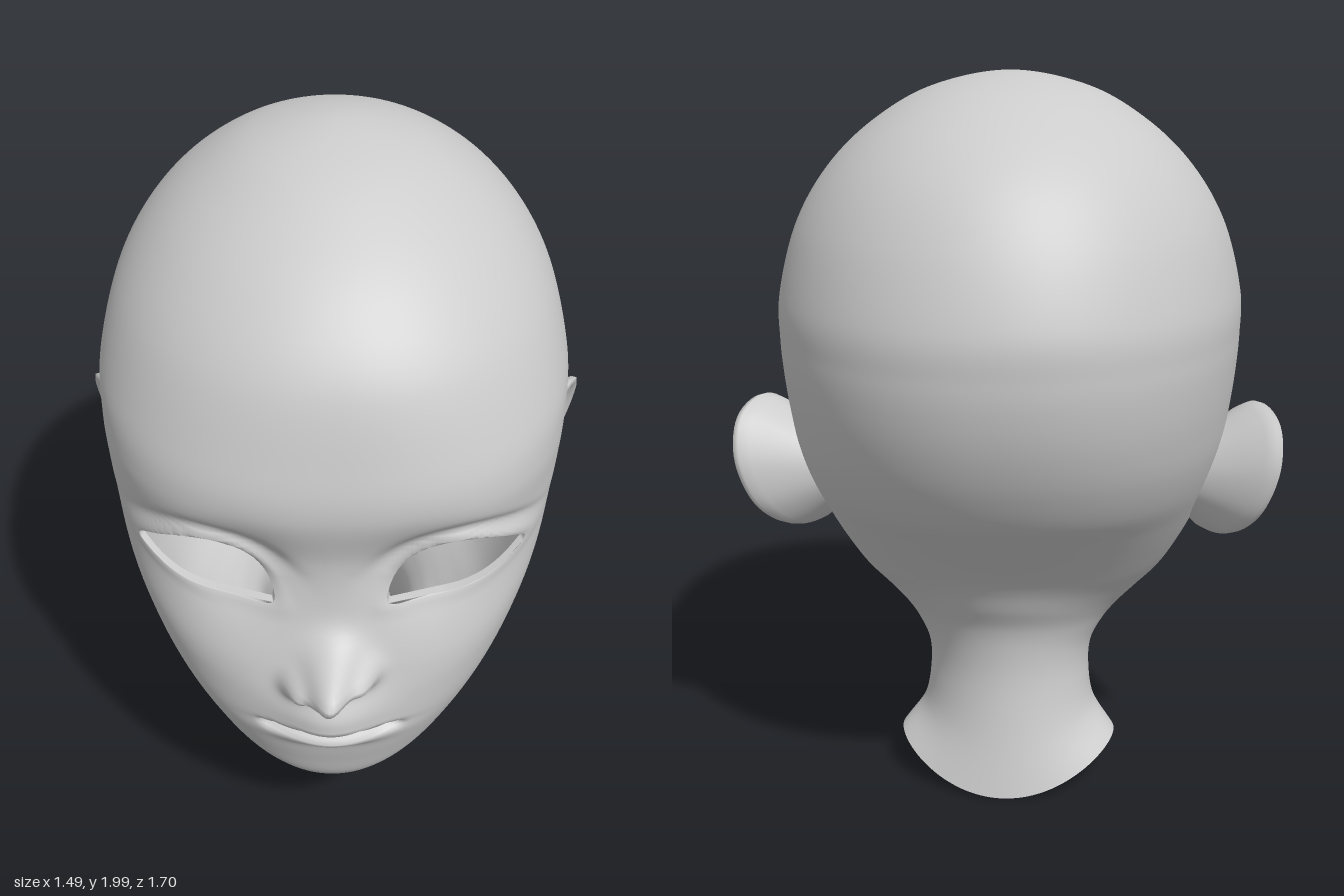
import * as THREE from 'three';

const skin = new THREE.MeshStandardMaterial({ color: 0xcccccc, side: THREE.DoubleSide });
const bump = (d, s) => Math.exp(-((d / s) ** 2));
const step = THREE.MathUtils.smoothstep;

// Cross-sections, bottom to top: half width, side z, side y, front z, front y, back z, back y
const neckAndJaw = [
  [0.31, -0.2, 0.125, 0.04, 0.05, -0.425, 0.01],
  [0.25, -0.16, 0.2, 0.08, 0.2, -0.39, 0.18],
  [0.232, -0.13, 0.3, 0.11, 0.27, -0.37, 0.32],
  [0.24, -0.1, 0.38, 0.18, 0.308, -0.37, 0.42],
  [0.28, -0.04, 0.44, 0.32, 0.325, -0.385, 0.5],
  [0.33, 0.04, 0.48, 0.46, 0.31, -0.42, 0.57],
  [0.39, 0.08, 0.53, 0.57, 0.285, -0.45, 0.63],
  [0.455, 0.08, 0.6, 0.625, 0.33, -0.485, 0.68],
  [0.51, 0.06, 0.7, 0.655, 0.41, -0.55, 0.75],
  [0.55, 0.03, 0.8, 0.685, 0.52, -0.62, 0.82],
];
// half width, side z, y, front z, front y, back z
const skull = [
  [0.582, 0, 0.9, 0.69, 0.64, -0.7],
  [0.605, -0.02, 1.0, 0.68, 0.76, -0.765],
  [0.62, -0.02, 1.1, 0.643, 0.94, -0.81],
  [0.632, -0.02, 1.2, 0.635, 1.1, -0.838],
  [0.638, -0.03, 1.3, 0.667, 1.26, -0.85],
  [0.635, -0.04, 1.42, 0.65, 1.4, -0.845],
  [0.585, -0.07, 1.6, 0.59, 1.6, -0.78],
  [0.495, -0.09, 1.75, 0.475, 1.75, -0.68],
  [0.37, -0.1, 1.87, 0.315, 1.87, -0.53],
  [0.21, -0.1, 1.96, 0.13, 1.96, -0.33],
  [0, -0.1, 2, -0.1, 2, -0.1],
  [-0.21, -0.1, 1.96, -0.33, 1.96, 0.13],
].map((r) => [...r, r[2]]);
const first = neckAndJaw[0];
const rows = [first.map((v, k) => 2 * v - neckAndJaw[1][k]), ...neckAndJaw, ...skull];

function section(v) {
  const i = Math.min(Math.floor(v), rows.length - 4), t = v - i;
  return rows[i].map((a, k) => {
    const b = rows[i + 1][k], c = rows[i + 2][k], d = rows[i + 3][k];
    return b + 0.5 * t * (c - a + t * (2 * a - 5 * b + 4 * c - d + t * (3 * (b - c) + d - a)));
  });
}

// Eye opening outline around its centre, stored as angle and radius
const eye = { x: 0.33, y: 1.06 };
const outline = new THREE.CatmullRomCurve3([
  [0.18, 0], [0.09, 0.065], [0.01, 0.086], [-0.08, 0.066], [-0.158, 0.0], [-0.185, -0.085],
  [-0.17, -0.097], [-0.08, -0.09], [0.02, -0.076], [0.12, -0.04],
].map(([x, y]) => new THREE.Vector3(x, y, 0)), true).getPoints(120)
  .map((p) => [Math.atan2(p.y, p.x), Math.hypot(p.x, p.y)]).sort((a, b) => a[0] - b[0]);

function eyeRadius(a) {
  const n = outline.length, i = outline.findIndex((p) => p[0] > a);
  if (i <= 0) return outline[i === 0 ? 0 : n - 1][1];
  const [a0, r0] = outline[i - 1], [a1, r1] = outline[i];
  return r0 + ((r1 - r0) * (a - a0)) / (a1 - a0 || 1);
}

// Depth added to the face for sockets, lids, nose and mouth
function faceRelief(ax, x, y, k, lift) {
  let d = -0.05 * bump(ax - 0.24, 0.12) * bump(y - 1.06, 0.12);
  const upper = step(lift, -0.3, 0.6);
  d += (0.004 + 0.012 * upper) * bump(k - 1.1, 0.13) - 0.014 * upper * bump(k - 1.5, 0.2);
  const ny = y - 0.78 - 0.15 * x;
  d += 0.168 * bump(x, 0.068) * bump(ny, ny > 0 ? 0.075 : 0.042);
  d += 0.06 * bump(ax - 0.09, 0.036) * bump(ny + 0.012, 0.034);
  d += 0.058 * bump(x, 0.13) * step(y, 0.582, 0.605) * (1 - step(y, 0.64, 0.78));
  d += 0.04 * bump(x, 0.13) * bump(y - 0.55, 0.028);
  d -= 0.03 * bump(y - 0.58, 0.011) * (1 - step(ax, 0.16, 0.21));
  return d;
}

// Closed loops of points joined into a smooth skin
function loft(nRows, nCols, point, keep = () => true) {
  const pos = [], index = [];
  for (let i = 0; i < nRows; i++) for (let j = 0; j < nCols; j++) pos.push(...point(i, j));
  const face = (...f) => { if (keep(f)) index.push(...f); };
  for (let i = 0; i < nRows - 1; i++) {
    for (let j = 0; j < nCols; j++) {
      const a = i * nCols + j, b = i * nCols + ((j + 1) % nCols);
      face(a, b, a + nCols);
      face(b, b + nCols, a + nCols);
    }
  }
  const g = new THREE.BufferGeometry();
  g.setAttribute('position', new THREE.Float32BufferAttribute(pos, 3));
  g.setIndex(index);
  g.computeVertexNormals();
  return g;
}

function headGeometry(rim) {
  const perRow = 11, cols = 208, nRows = (rows.length - 3) * perRow + 1;
  const open = new Set();
  let s;
  return loft(nRows, cols, (i, j) => {
    if (j === 0) s = section(i / perRow);
    const [w, zS, yS, zF, yF, zB, yB] = s;
    const u = (j / cols) * Math.PI * 2 - Math.PI, t = u - 0.45 * Math.sin(u);
    const sn = Math.sin(t), c = Math.cos(t), front = c > 0;
    const n = 2 + (front ? 0.6 : 0.15) * bump(yS - 1.15, 0.4);
    const r = (Math.abs(sn) ** n + Math.abs(c) ** n) ** (-1 / n);
    let x = w * sn * r, y = yS + ((front ? yF : yB) - yS) * (c * r) ** 2;
    let z = zS + (front ? zF - zS : zS - zB) * c * r;
    if (!front || z < 0.15 || y > 1.5) return [x, y, z];
    // push points inside the eye opening out to its edge
    const side = Math.sign(x) || 1, dx = Math.abs(x) - eye.x, dy = y - eye.y;
    const a = Math.atan2(dy, dx), dist = Math.hypot(dx, dy), R = eyeRadius(a);
    let k = dist / R;
    const inside = k < 1;
    if (inside) {
      open.add(i * cols + j);
      k = 1;
      x = side * (eye.x + R * Math.cos(a));
      y = eye.y + R * Math.sin(a);
      z = zS + (zF - zS) * Math.max(0, 1 - Math.abs(x / w) ** n) ** (1 / n);
    }
    z += faceRelief(Math.abs(x), x, y, k, Math.sin(a)) * step(z, 0.15, 0.4);
    if (inside && side > 0 && R - dist < 0.015) rim.push([a, x, y, z]);
    return [x, y, z];
  }, (f) => !f.every((v) => open.has(v)));
}

// Thin edge turning inward around the eye opening
function lidGeometry(rim) {
  rim.sort((p, q) => p[0] - q[0]);
  return loft(2, rim.length, (i, j) => {
    const [, x, y, z] = rim[j], f = i ? 0.97 : 1;
    return [eye.x + (x - eye.x) * f, eye.y + (y - eye.y) * f, z - i * 0.025];
  });
}

// Ear: rings shrinking from the hidden back, over the rim, into the hollow
function earGeometry() {
  const edge = new THREE.CatmullRomCurve3([
    [-0.1, 1.01], [-0.135, 1.09], [-0.2, 1.12], [-0.3, 1.08], [-0.355, 0.97], [-0.335, 0.84],
    [-0.26, 0.76], [-0.16, 0.73], [-0.1, 0.74], [-0.11, 0.86],
  ].map(([z, y]) => new THREE.Vector3(0, y, z)), true).getSpacedPoints(64);
  const rings = [[0.5, -0.14], [0.8, -0.06], [0.94, -0.025], [1, 0], [0.98, 0.016], [0.91, 0.022],
    [0.83, 0.012], [0.76, -0.01], [0.66, -0.012], [0.55, -0.014], [0.42, -0.04], [0.2, -0.055], [0, -0.055]];
  return loft(rings.length, 64, (i, j) => {
    const [f, h] = rings[i], p = edge[j];
    const z = -0.21 + (p.z + 0.21) * f, y = 0.92 + (p.y - 0.92) * f;
    return [0.592 + 0.5 * (-0.1 - z) + 0.25 * (y - 0.95) + h, y, z];
  });
}

export function createModel() {
  const model = new THREE.Group();
  const add = (name, geometry, mirror = 1) => {
    const mesh = new THREE.Mesh(geometry, skin);
    mesh.name = name;
    mesh.scale.x = mirror;
    model.add(mesh);
  };
  const rim = [];
  add('head', headGeometry(rim));
  const lid = lidGeometry(rim), ear = earGeometry();
  for (const [name, m] of [['left', 1], ['right', -1]]) {
    add(name + 'EyelidEdge', lid, m);
    add(name + 'Ear', ear, m);
  }
  return model;
}
